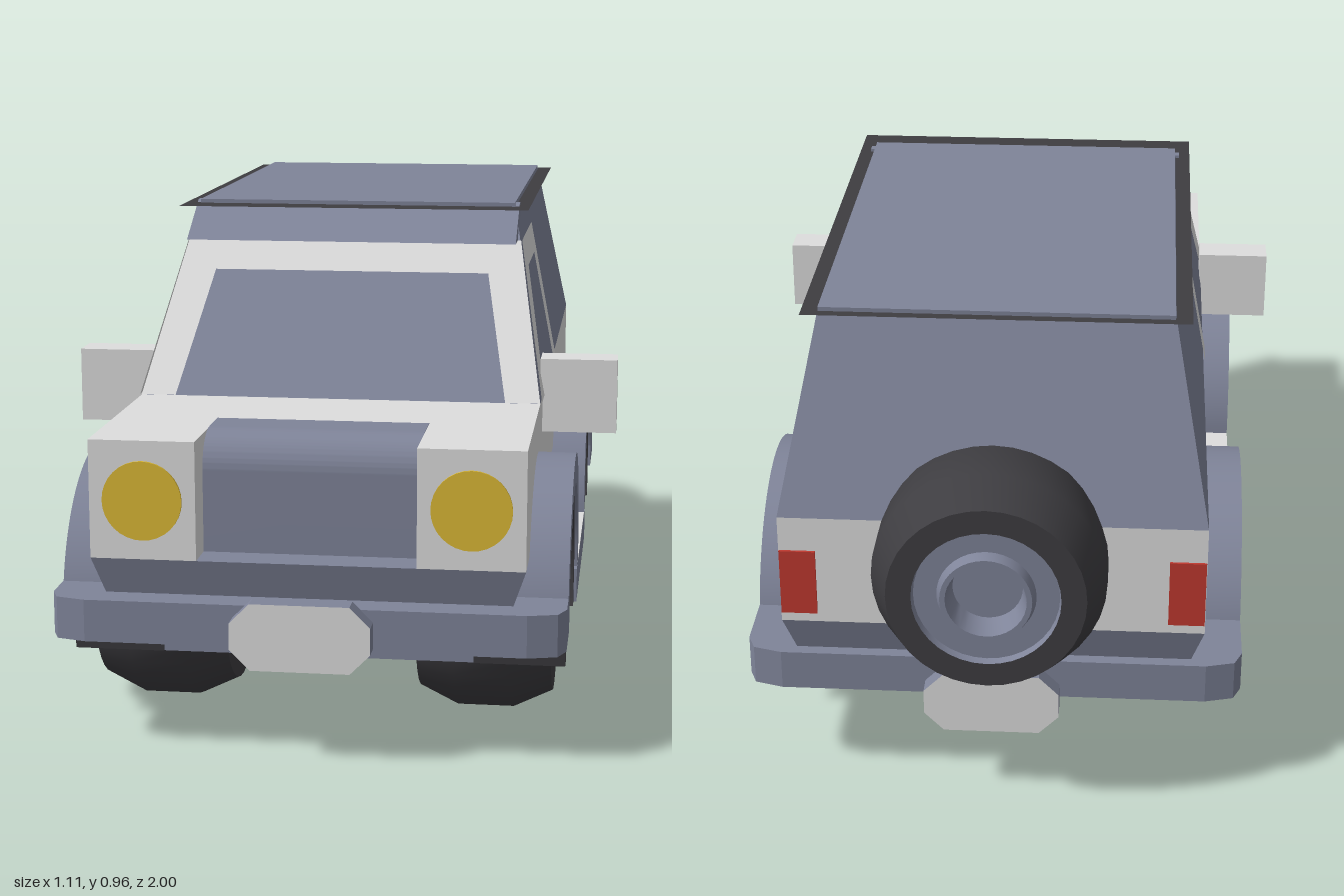
import * as THREE from 'three';
import { toCreasedNormals } from 'three/addons/utils/BufferGeometryUtils.js';

const paint = (name, color, side = THREE.FrontSide) => {
  const m = new THREE.MeshStandardMaterial({ color, side });
  m.name = name;
  return m;
};

// Box whose bottom and top rectangles differ: rect = [halfX, zBack, zFront]
function taperedBox(y0, bottom, y1, top) {
  const g = new THREE.BoxGeometry(1, 1, 1);
  const p = g.attributes.position;
  for (let i = 0; i < p.count; i++) {
    const up = p.getY(i) > 0;
    const r = up ? top : bottom;
    p.setXYZ(i, Math.sign(p.getX(i)) * r[0], up ? y1 : y0, p.getZ(i) > 0 ? r[2] : r[1]);
  }
  g.computeVertexNormals();
  return g;
}

const boxFrom = (x0, x1, y0, y1, z0, z1) =>
  new THREE.BoxGeometry(x1 - x0, y1 - y0, z1 - z0)
    .translate((x0 + x1) / 2, (y0 + y1) / 2, (z0 + z1) / 2);

const polygon = (pts) => new THREE.Shape(pts.map(([a, b]) => new THREE.Vector2(a, b)));

const extrude = (shape, depth) =>
  new THREE.ExtrudeGeometry(shape, { depth, bevelEnabled: false, curveSegments: 24 });

// Side profile drawn in (z, y), spanning x0..x1
const sideProfile = (shape, x0, x1) =>
  extrude(shape, x1 - x0).rotateY(-Math.PI / 2).translate(x1, 0, 0);

// Flat sheet laid on a sloping surface by a rule for each vertex
function sheet(pts, rule) {
  const g = new THREE.ShapeGeometry(polygon(pts));
  const p = g.attributes.position;
  for (let i = 0; i < p.count; i++) p.setXYZ(i, ...rule(p.getX(i), p.getY(i)));
  g.computeVertexNormals();
  return g;
}

const lathe = (pts) => toCreasedNormals(
  new THREE.LatheGeometry(pts.map(([r, y]) => new THREE.Vector2(r, y)), 36), 0.6);

export function createModel() {
  const car = new THREE.Group();
  const body = paint('light grey', 0xdedede, THREE.DoubleSide);
  const slate = paint('slate blue', 0x7f8499);
  const dark = paint('dark rubber', 0x3e3d41, THREE.DoubleSide);
  const yellow = paint('lamp yellow', 0xdcb936);
  const red = paint('lamp red', 0xc0392f);

  const add = (name, geometry, material, parent = car) => {
    const m = new THREE.Mesh(geometry, material);
    m.name = name;
    parent.add(m);
    return m;
  };

  // Chassis and lower body
  add('chassis', boxFrom(-0.3, 0.3, 0.15, 0.25, -0.63, 0.78), slate);
  add('runningBoards', boxFrom(-0.48, 0.48, 0.15, 0.22, -0.19, 0.345), slate);
  add('skirt', taperedBox(0.22, [0.355, -0.81, 0.88], 0.37, [0.405, -0.85, 0.92]), slate);
  add('bodyShell', boxFrom(-0.405, 0.405, 0.37, 0.595, -0.85, 0.78), body);

  // Grille with a rounded top, set back between the lamp housings
  const grille = polygon([[0.7, 0.37], [0.85, 0.37], [0.85, 0.525]]);
  grille.absarc(0.78, 0.526, 0.07, 0, Math.PI / 2, false);
  grille.lineTo(0.7, 0.596);
  add('grille', toCreasedNormals(sideProfile(grille, -0.205, 0.205), 0.6), slate);

  // Cabin: slate frustum with pale frames laid over it
  add('cabin', taperedBox(0.595, [0.405, -0.85, 0.48], 0.965, [0.333, -0.7, 0.185]), slate);
  add('windshieldFrame', sheet(
    [[-0.405, 0.596], [-0.335, 0.596], [-0.285, 0.83], [0.285, 0.83], [0.335, 0.596],
      [0.405, 0.596], [0.349, 0.893], [-0.349, 0.893]],
    (x, y) => [x, y, 0.484 - (y - 0.595) * 0.797]), body);
  add('visor', sideProfile(polygon(
    [[0.17, 0.893], [0.316, 0.893], [0.19, 0.965], [0.17, 0.965]]), -0.342, 0.342), slate);

  // Roof: dark overhanging sheet with a raised panel
  add('roofEdge', new THREE.PlaneGeometry(0.73, 1.01).rotateX(-Math.PI / 2)
    .translate(0, 0.959, -0.225), dark);
  add('roofPanel', boxFrom(-0.333, 0.333, 0.955, 0.967, -0.71, 0.21), slate);

  // Bumpers with cut corners
  const bumper = (inner, outer) => extrude(polygon(
    [[-0.48, inner], [0.48, inner], [0.48, outer - 0.05], [0.465, outer - 0.015], [0.41, outer],
      [-0.41, outer], [-0.465, outer - 0.015], [-0.48, outer - 0.05]]), 0.08);
  add('frontBumper', bumper(0.78, 0.96).rotateX(Math.PI / 2).translate(0, 0.3, 0), slate);
  add('rearBumper', bumper(0.63, 0.855).rotateX(-Math.PI / 2).translate(0, 0.22, 0), slate);

  // Blank plates
  const plate = () => extrude(polygon(
    [[-0.13, -0.025], [-0.092, -0.063], [0.092, -0.063], [0.13, -0.025],
      [0.13, 0.025], [0.092, 0.063], [-0.092, 0.063], [-0.13, 0.025]]), 0.04);
  add('frontPlate', plate().translate(0, 0.252, 0.96), [body, slate]);
  add('rearPlate', plate().translate(0, 0.222, -0.892), [body, slate]);

  // Wheel: tyre, rim and sunken hub, outer face towards +y before turning
  const tyre = lathe([[0.1, -0.13], [0.185, -0.13], [0.22, -0.055], [0.22, 0.055],
    [0.185, 0.13], [0.138, 0.13]]);
  const rim = lathe([[0.14, 0.128], [0.135, 0.115], [0.092, 0.115], [0.085, 0.135],
    [0.075, 0.135], [0.065, 0.085], [0, 0.085]]);
  const back = new THREE.CylinderGeometry(0.11, 0.11, 0.02, 24).translate(0, -0.115, 0);
  const wheel = (name, x, y, z) => {
    const w = new THREE.Group();
    w.name = name;
    add('tyre', tyre, dark, w);
    add('rim', rim, slate, w);
    add('wheelBack', back, dark, w);
    w.position.set(x, y, z);
    car.add(w);
    return w;
  };
  wheel('spareWheel', 0, 0.52, -0.868).rotation.x = -Math.PI / 2;

  for (const s of [1, -1]) {
    const side = s > 0 ? 'left' : 'right';
    const span = (a, b) => (s > 0 ? [a, b] : [-b, -a]);

    // Lamp housing, lamps and mirror
    add(side + 'LampHousing', boxFrom(...span(0.205, 0.405), 0.37, 0.595, 0.78, 0.92), body);
    add(side + 'Headlight', new THREE.CylinderGeometry(0.075, 0.075, 0.008, 32)
      .rotateX(Math.PI / 2).translate(s * 0.305, 0.482, 0.921), yellow);
    add(side + 'TailLight', boxFrom(...span(0.335, 0.404), 0.39, 0.525, -0.855, -0.847), red);
    add(side + 'Mirror', boxFrom(...span(0.4, 0.555), 0.52, 0.67, 0.315, 0.388), body);

    // Door frame around the side window
    add(side + 'DoorFrame', sheet(
      [[0.48, 0.596], [0.243, 0.893], [-0.11, 0.893], [-0.11, 0.596], [-0.03, 0.596],
        [-0.03, 0.835], [0.19, 0.835], [0.38, 0.596]],
      (z, y) => [s * (0.409 - (y - 0.595) * 0.1946), y, z]), body);
    add(side + 'Step', boxFrom(...span(0.36, 0.48), 0.219, 0.224, -0.13, 0.285), body);

    for (const [end, z] of [['Front', 0.565], ['Rear', -0.41]]) {
      // Fender arch
      const arch = new THREE.Shape();
      arch.absarc(z, 0.225, 0.285, 0, Math.PI, false);
      arch.absarc(z, 0.225, 0.225, Math.PI, 0, true);
      add(side + end + 'Fender',
        toCreasedNormals(sideProfile(arch, ...span(0.36, 0.48)), 0.5), slate);

      // Dark arch lining and its inner block
      const lining = polygon([[z + 0.218, 0.15], [z + 0.228, 0.225]]);
      lining.absarc(z, 0.225, 0.228, 0, Math.PI, false);
      lining.lineTo(z - 0.218, 0.15);
      lining.absarc(z, 0.225, 0.2, Math.PI + 0.384, -0.384, true);
      add(side + end + 'ArchLining', sideProfile(lining, ...span(0.3, 0.474)), dark);
      add(side + end + 'Wheelhouse',
        boxFrom(...span(0.3, 0.42), 0.152, 0.36, z - 0.21, z + 0.21), dark);

      wheel(side + end + 'Wheel', s * 0.315, 0.225, z).rotation.z = -s * Math.PI / 2;
    }
  }
  return car;
}
